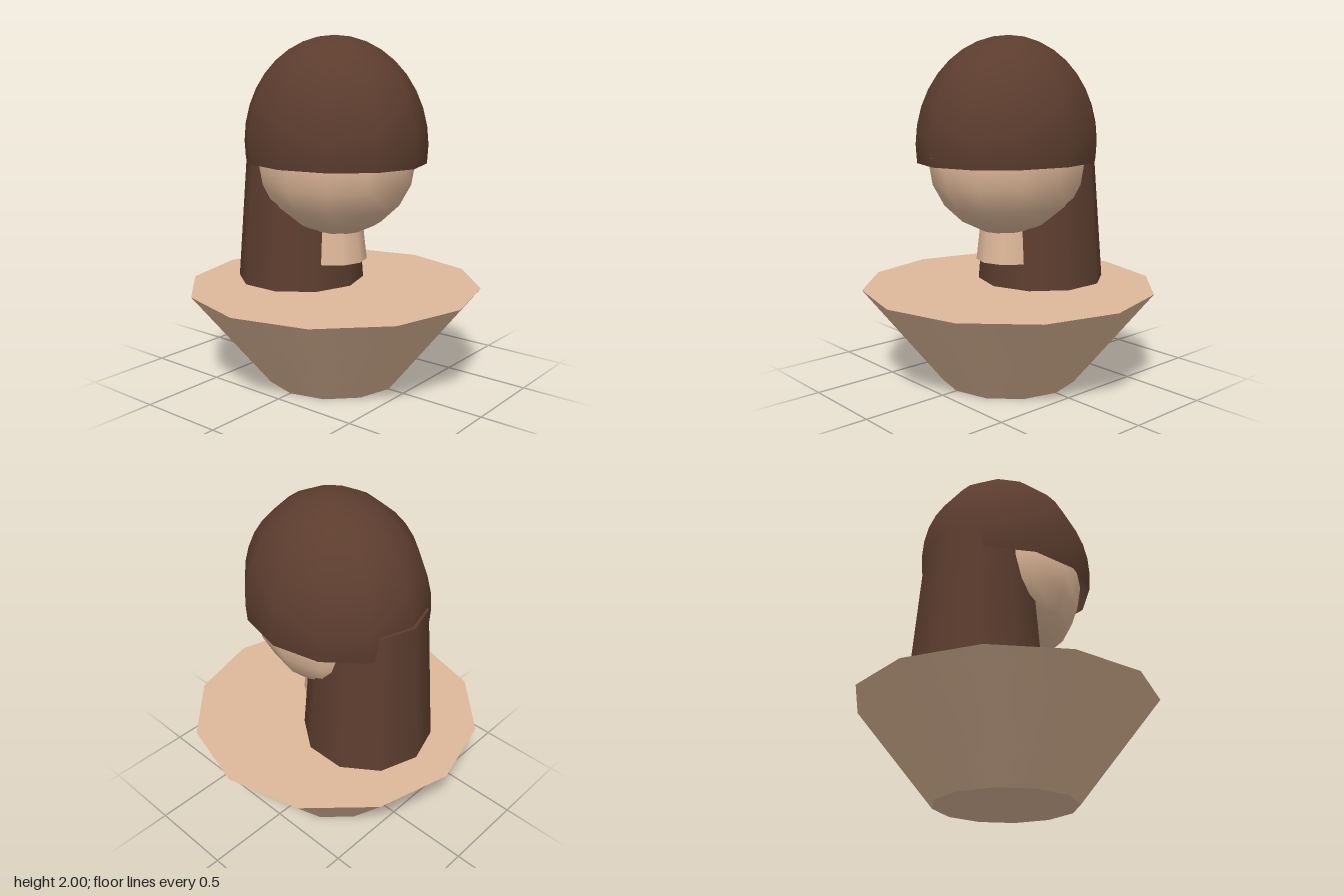
import * as THREE from 'three';

export function createModel() {
  const model = new THREE.Group();
  const skin = new THREE.MeshStandardMaterial({ color: 0xdeb899 });
  skin.name = 'skin';
  const hair = new THREE.MeshStandardMaterial({ color: 0x5c3d2e, side: THREE.DoubleSide });
  hair.name = 'brown hair';

  const add = (name, geometry, material, x, y, z) => {
    const mesh = new THREE.Mesh(geometry, material);
    mesh.name = name;
    mesh.position.set(x, y, z);
    model.add(mesh);
    return mesh;
  };
  // Tapered upright column between two heights
  const column = (name, rTop, rBottom, y0, y1, z, sides, material) =>
    add(name, new THREE.CylinderGeometry(rTop, rBottom, y1 - y0, sides), material, 0, (y0 + y1) / 2, z);

  // Flared shoulders, neck and the long hair hanging behind
  column('shoulders', 0.855, 0.4, 0, 0.565, 0, 12, skin);
  column('neck', 0.16, 0.19, 0.715, 0.98, 0, 10, skin);
  column('backHair', 0.31, 0.378, 0.56, 1.435, -0.26, 10, hair);

  // Head
  const head = add('head', new THREE.SphereGeometry(1, 12, 10), skin, 0, 1.3, 0);
  head.scale.set(0.43, 0.44, 0.48);

  // Small nose, almost covered by the fringe
  const nose = add('nose', new THREE.ConeGeometry(0.035, 0.1, 6), skin, 0, 1.34, 0.505);
  nose.rotation.x = Math.PI / 2;

  // Open bowl-cut hair over the head
  const cap = add('hairCap',
    new THREE.SphereGeometry(1, 12, 10, 0, Math.PI * 2, 0, Math.PI * 0.55), hair, 0, 1.386, 0);
  cap.scale.set(0.484, 0.614, 0.556);

  return model;
}
